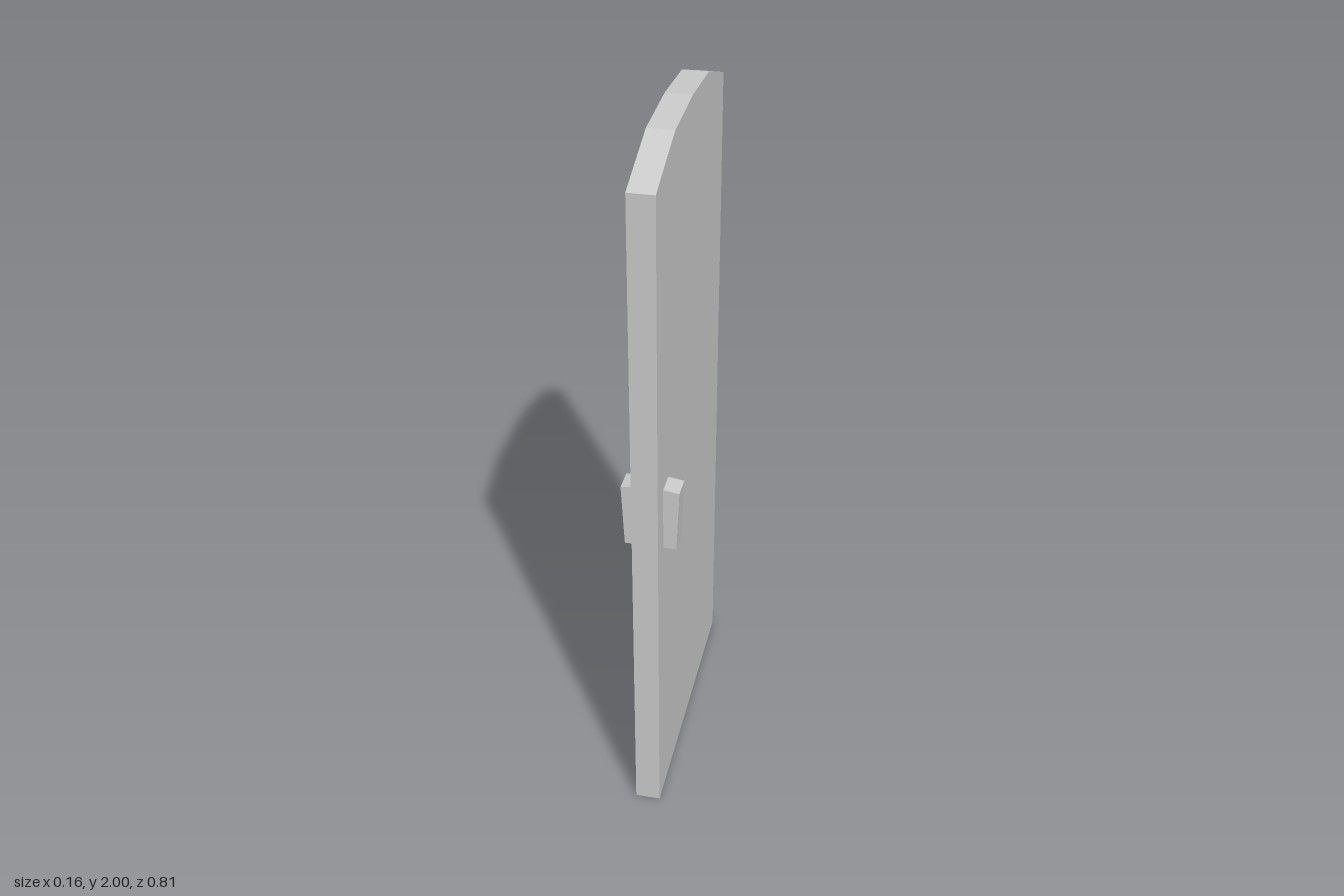
import * as THREE from 'three';

const material = new THREE.MeshStandardMaterial({ color: 0xcccccc, flatShading: true, side: THREE.DoubleSide });

function extrude(points, depth) {
  const shape = new THREE.Shape(points.map(([x, y]) => new THREE.Vector2(x, y)));
  return new THREE.ExtrudeGeometry(shape, { depth, bevelEnabled: false }).translate(0, 0, -depth / 2);
}

function addPart(group, name, geometry) {
  const mesh = new THREE.Mesh(geometry, material);
  mesh.name = name;
  group.add(mesh);
}

// Remove the triangles lying on the ground, leaving the shell open below
function openBottom(geometry) {
  const p = geometry.attributes.position;
  const kept = [];
  for (let i = 0; i < p.count; i += 3) {
    if (Math.max(p.getY(i), p.getY(i + 1), p.getY(i + 2)) < 0.001) continue;
    for (let j = i; j < i + 3; j++) kept.push(p.getX(j), p.getY(j), p.getZ(j));
  }
  const open = new THREE.BufferGeometry();
  open.setAttribute('position', new THREE.Float32BufferAttribute(kept, 3));
  open.computeVertexNormals();
  return open;
}

export function createModel() {
  const group = new THREE.Group();
  group.name = 'door';

  // Door leaf with a faceted arched top, leaning very slightly sideways
  const outline = [[-0.405, 0], [0.405, 0], [0.405, 1.915], [0.2, 1.988], [0, 2], [-0.2, 1.988], [-0.405, 1.915]];
  const leaf = extrude(outline, 0.07).rotateY(Math.PI / 2);
  const lean = new THREE.Matrix4().set(1, 0.0025, 0, -0.0025, 0, 1, 0, 0, 0, 0, 1, 0, 0, 0, 0, 1);
  addPart(group, 'doorLeaf', openBottom(leaf.applyMatrix4(lean)));

  // Tapered handles, one on each face
  for (const [name, side] of [['leftHandle', 1], ['rightHandle', -1]]) {
    const profile = [[0.033, 0.88], [0.07, 0.88], [0.078, 1.06], [0.033, 1.067]];
    const handle = extrude(profile.map(([x, y]) => [x * side, y]), 0.062).translate(0, 0, 0.311);
    addPart(group, name, handle);
  }
  return group;
}
